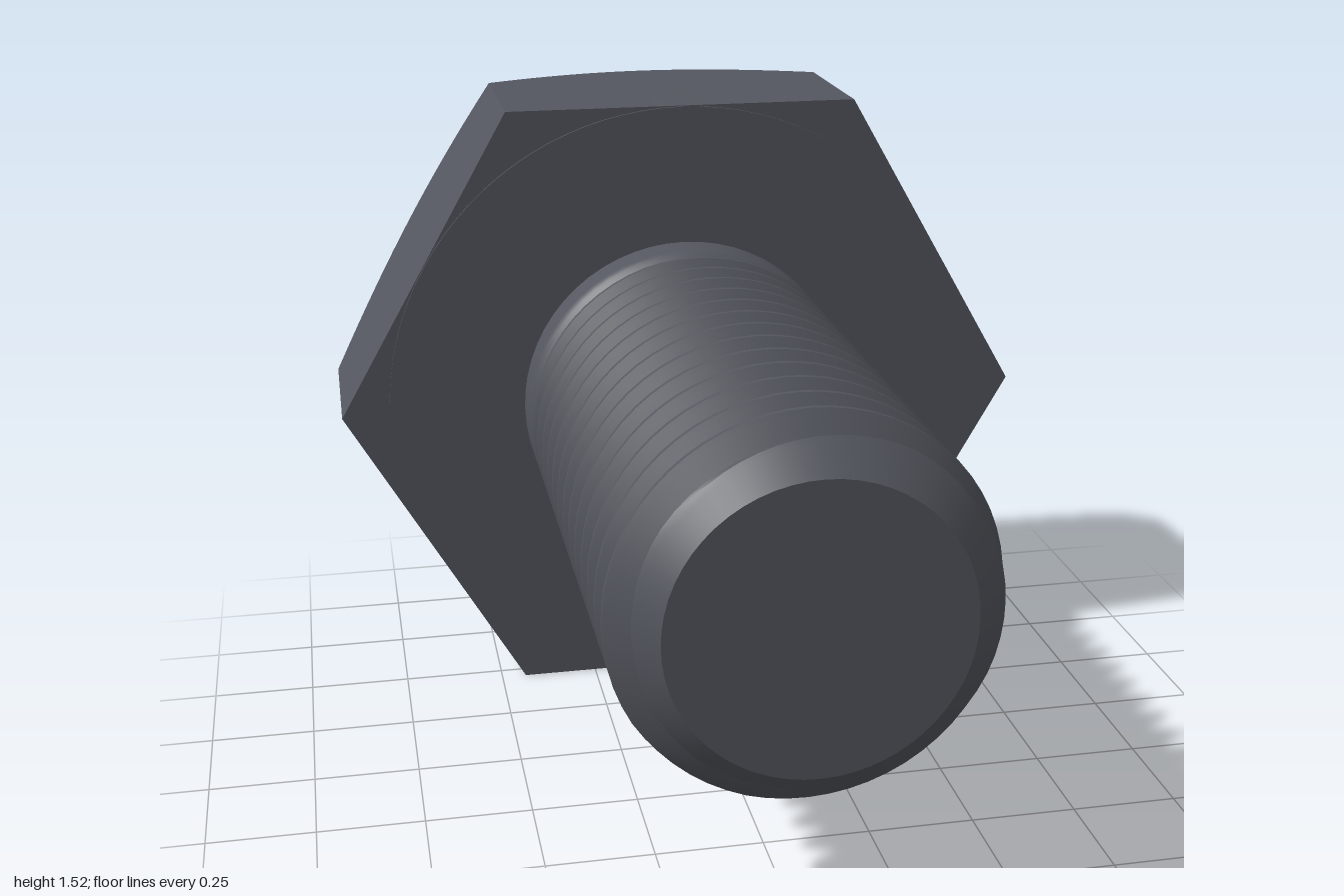
import * as THREE from 'three';
import { toCreasedNormals } from 'three/addons/utils/BufferGeometryUtils.js';

const CENTER_Y = 0.758;
const material = new THREE.MeshStandardMaterial({ color: 0x54575f });

// Joins rings, each a rule angle -> [radius, z], running from the front to the back
function loft(rings, segments) {
  const points = rings.map((ring) => Array.from({ length: segments + 1 }, (_, j) => {
    const a = (j / segments) * Math.PI * 2;
    const [r, z] = ring(a);
    return new THREE.Vector3(r * Math.cos(a), r * Math.sin(a), z);
  }));
  const positions = [];
  const triangle = new THREE.Triangle();
  const addTriangle = (a, b, c) => {
    if (triangle.set(a, b, c).getArea() < 1e-8) return;
    for (const p of [a, b, c]) positions.push(p.x, p.y, p.z);
  };
  for (let i = 0; i < points.length - 1; i++) {
    for (let j = 0; j < segments; j++) {
      const a = points[i][j], b = points[i + 1][j];
      const c = points[i + 1][j + 1], d = points[i][j + 1];
      addTriangle(a, b, c);
      addTriangle(a, c, d);
    }
  }
  const geometry = new THREE.BufferGeometry();
  geometry.setAttribute('position', new THREE.Float32BufferAttribute(positions, 3));
  return toCreasedNormals(geometry, 0.4);
}

// Radius of a hexagon with the given distance to its flats; 'turn' is the angle of a corner
function hexRadius(flat, a, turn) {
  const sector = Math.PI / 3;
  const t = (((a - turn) % sector) + sector) % sector;
  return flat / Math.cos(t - sector / 2);
}

// Hexagonal head: bearing face, flats, conical chamfer, countersunk hex socket
function headGeometry() {
  const flat = 0.758, back = -1, under = -0.46, floor = -0.57, sink = 0.415;
  const outer = (a) => hexRadius(flat, a, 0);
  const socket = (a) => hexRadius(0.338, a, Math.PI / 6);
  return loft([
    () => [0, under + 0.006],
    () => [flat - 0.002, under + 0.006],
    () => [flat - 0.002, under],
    (a) => [outer(a), under],
    (a) => [outer(a), back + outer(a) - flat],
    () => [flat, back],
    () => [sink, back],
    (a) => [socket(a), back + 0.5 * (sink - socket(a))],
    (a) => [socket(a), floor],
    () => [0, floor],
  ], 96);
}

// Shank with a right-handed helical thread, run-out under the head and chamfered tip
function shankGeometry() {
  const pitch = 0.0965, tip = 1, root = -0.46, major = 0.415, depth = 0.054;
  const offsets = [0.06, 0.155, 0.25, 0.345, 0.44, 0.56, 0.655, 0.75, 0.845, 0.94];
  const rings = [() => [0, tip]];
  for (let turn = -3; turn < 17; turn++) {
    for (const offset of offsets) {
      const fromCrest = Math.min(offset, 1 - offset);
      const cut = THREE.MathUtils.clamp((fromCrest - 0.06) / 0.38, 0, 1);
      rings.push((a) => {
        const helix = 0.864 + pitch * ((a - Math.PI / 2) / (Math.PI * 2) - turn - offset);
        const z = THREE.MathUtils.clamp(helix, root, tip);
        const fade = THREE.MathUtils.clamp((z + 0.38) / 0.09, 0, 1);
        return [Math.min(major - depth * cut * fade, 0.317 + tip - z), z];
      });
    }
  }
  return loft(rings, 60);
}

export function createModel() {
  const group = new THREE.Group();
  group.name = 'hexBolt';
  for (const [name, geometry] of [['head', headGeometry()], ['threadedShank', shankGeometry()]]) {
    const mesh = new THREE.Mesh(geometry, material);
    mesh.name = name;
    mesh.position.y = CENTER_Y;
    group.add(mesh);
  }
  return group;
}
